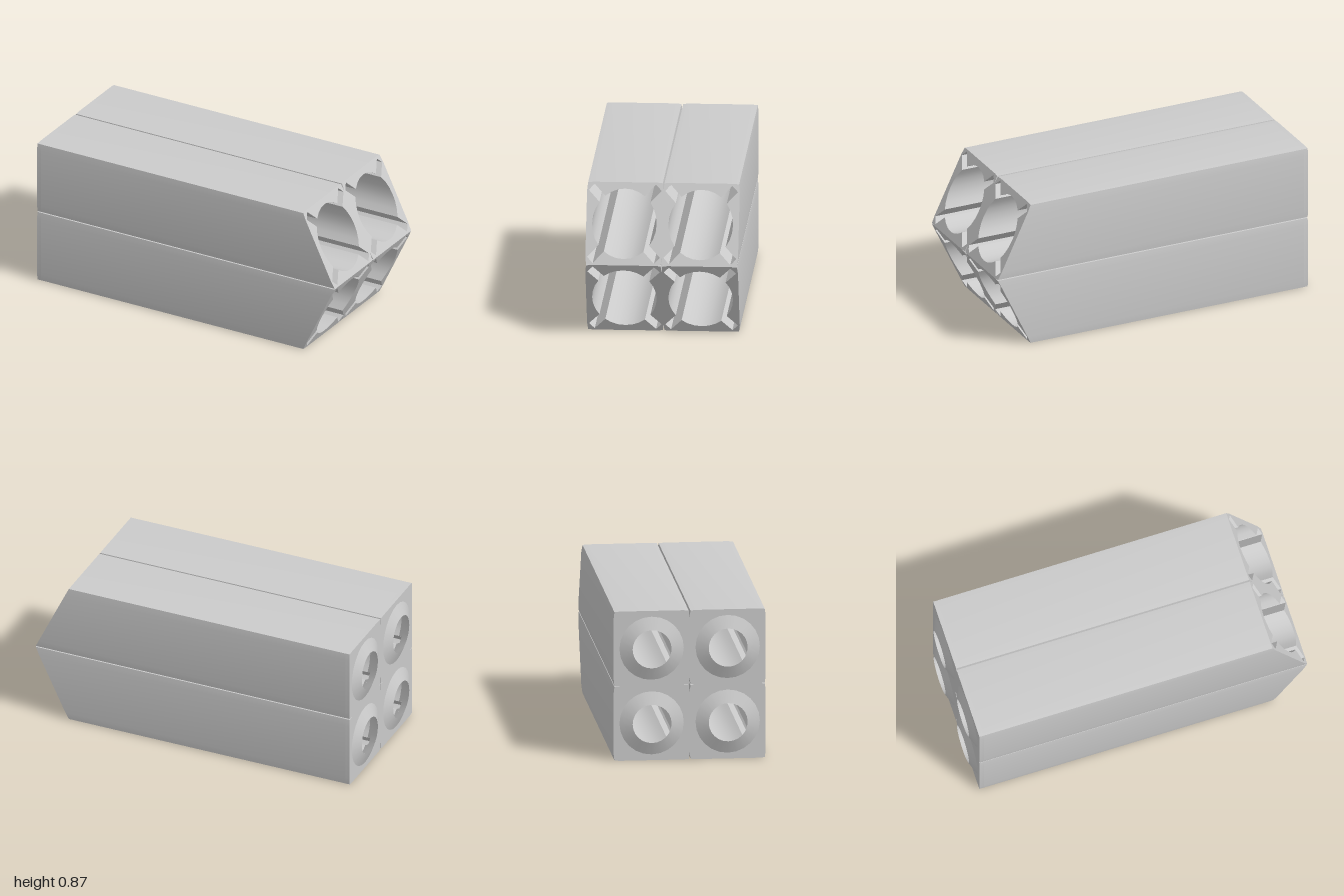
import * as THREE from 'three';
import { toCreasedNormals } from 'three/addons/utils/BufferGeometryUtils.js';

const HALF = 0.2187;       // half width of one cell
const BORE = 0.185, NOZZLE = 0.112, MOUTH = 0.162;
const SLOT_HALF = 0.023, SLOT_END = 0.272;
const BACK = -0.97, FLOOR = -0.945;
const MID = HALF * 2;      // height of the pointed ridge
const tipX = (y) => 1 - Math.abs(y - MID) * 0.48;

const polar = (r, a) => new THREE.Vector2(r * Math.cos(a), r * Math.sin(a));

// Square outline with very shallow bevelled corners, which form the seams
function cellOutline() {
  const h = HALF, pts = [];
  for (const [sx, sy] of [[1, 1], [-1, 1], [-1, -1], [1, -1]]) {
    const corner = [[h, h - 0.045], [h - 0.005, h - 0.003], [h - 0.035, h]];
    if (sx * sy < 0) corner.reverse();
    for (const [x, y] of corner) pts.push(new THREE.Vector2(sx * x, sy * y));
  }
  return new THREE.Shape(pts);
}

// Round bore with four diagonal keyways
function slottedHole() {
  const pts = [], d = Math.asin(SLOT_HALF / BORE), e = Math.asin(SLOT_HALF / SLOT_END);
  for (let k = 0; k < 4; k++) {
    const a = Math.PI / 4 + k * Math.PI / 2;
    for (const t of [-e, -e / 2, 0, e / 2, e]) pts.push(polar(SLOT_END, a + t));
    const n = 6;
    for (let i = 0; i <= n; i++) pts.push(polar(BORE, a + d + (Math.PI / 2 - 2 * d) * i / n));
  }
  return new THREE.Path(pts);
}

function roundHole(r) {
  const pts = [];
  for (let i = 0; i < 24; i++) pts.push(polar(r, i * Math.PI / 12));
  return new THREE.Path(pts);
}

// Extrude a cell section along x from x0 to endX(y)
function prism(hole, x0, endX, cy) {
  const shape = cellOutline();
  shape.holes.push(hole);
  const geo = new THREE.ExtrudeGeometry(shape, { depth: 1, bevelEnabled: false });
  geo.rotateY(Math.PI / 2);
  const p = geo.attributes.position;
  for (let i = 0; i < p.count; i++) {
    p.setX(i, p.getX(i) > 0.5 ? endX(p.getY(i) + cy) : x0);
  }
  return toCreasedNormals(geo, 0.3);
}

// Conical surface about the x axis, points given as [x, radius]
function cone(points, start = 0, length = Math.PI * 2, segments = 24) {
  const geo = new THREE.LatheGeometry(points.map(([x, r]) => new THREE.Vector2(r, x)), segments, start, length);
  return geo.rotateZ(-Math.PI / 2);
}

export function createModel() {
  const model = new THREE.Group();
  model.name = 'fourBoreBlock';
  const solid = new THREE.MeshStandardMaterial({ color: 0xcccccc });
  const thin = new THREE.MeshStandardMaterial({ color: 0xcccccc, side: THREE.DoubleSide });

  for (const cy of [HALF, HALF * 3]) {
    for (const cz of [-HALF, HALF]) {
      const cell = new THREE.Group();
      cell.name = 'cell';
      cell.position.set(0, cy, cz);
      const add = (name, geo, mat) => {
        const mesh = new THREE.Mesh(geo, mat);
        mesh.name = name;
        cell.add(mesh);
      };

      // Slotted body with the sloping end, and the plate closing the slots
      add('body', prism(slottedHole(), FLOOR, tipX, cy), solid);
      add('backPlate', prism(roundHole(MOUTH), BACK, () => FLOOR, cy), solid);

      // Raised nozzle at the back and the funnel leading into it
      add('nozzle', cone([[BACK, BORE], [-1, NOZZLE]]), thin);
      add('funnel', cone([[-1, NOZZLE], [FLOOR, MOUTH]]), thin);

      // Upper part of the funnel, interrupted by the slots
      const gap = Math.asin(SLOT_HALF / BORE);
      for (let k = 0; k < 4; k++) {
        add('funnelRim', cone([[FLOOR, MOUTH], [-0.92, BORE]],
          Math.PI / 4 + gap + k * Math.PI / 2, Math.PI / 2 - 2 * gap, 6), thin);
      }
      model.add(cell);
    }
  }
  return model;
}
